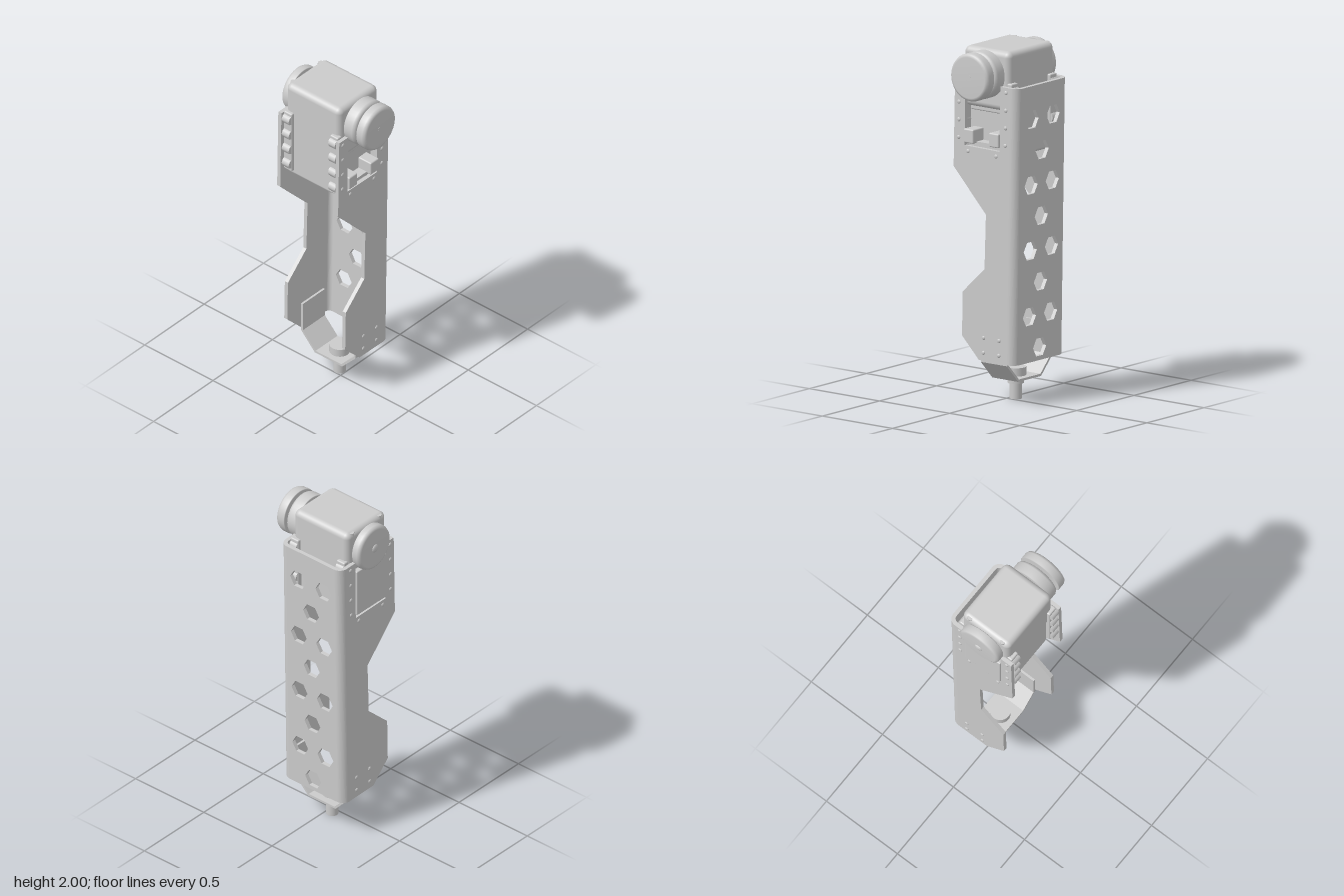
import * as THREE from 'three';
import { RoundedBoxGeometry } from 'three/addons/geometries/RoundedBoxGeometry.js';

const mat = new THREE.MeshStandardMaterial({ color: 0xcccccc });
const ZC = -0.0415; // middle of the channel in z

function add(parent, name, geo, x = 0, y = 0, z = 0) {
  const m = new THREE.Mesh(geo, mat);
  m.name = name;
  m.position.set(x, y, z);
  parent.add(m);
  return m;
}

// box given by its limits
function box(parent, name, x0, x1, y0, y1, z0, z1, r = 0) {
  const s = [x1 - x0, y1 - y0, z1 - z0];
  const g = r ? new RoundedBoxGeometry(...s, 4, r) : new THREE.BoxGeometry(...s);
  return add(parent, name, g, (x0 + x1) / 2, (y0 + y1) / 2, (z0 + z1) / 2);
}

const poly = (pts) => new THREE.Shape(pts.map((p) => new THREE.Vector2(...p)));
const extrude = (shape, depth) =>
  new THREE.ExtrudeGeometry(shape, { depth, bevelEnabled: false, curveSegments: 8 });
const zCylinder = (r, len, seg = 32) => new THREE.CylinderGeometry(r, r, len, seg).rotateX(Math.PI / 2);

// U-shaped channel with cut-away cheeks and a perforated spine
function createChannel() {
  const g = new THREE.Group();
  g.name = 'channel';
  const t = 0.023, half = 0.2235, r = 0.05, xs = 0.146, y0 = 0.24, y1 = 1.81;

  const cheek = poly([
    [xs, y0], [xs, y1], [0.074, y1], [0.074, 1.44], [-0.174, 1.44], [-0.176, y1], [-0.249, y1],
    [-0.251, 1.31], [-0.017, 1.07], [-0.022, 0.76], [-0.175, 0.61], [-0.176, 0.36], [-0.054, y0],
  ]);
  const rivets = [[-0.15, 1.41], [0.05, 1.41]];
  for (const y of [1.78, 1.68, 1.58, 1.48]) rivets.push([-0.218, y], [0.114, y]);
  for (const y of [0.37, 0.285]) rivets.push([-0.023, y], [0.087, y]);

  for (const s of [1, -1]) {
    add(g, 'cheek', extrude(cheek, t), 0, 0, s > 0 ? ZC + half - t : ZC - half);
    // rounded fold between cheek and spine
    const fold = new THREE.Shape();
    const a = s > 0 ? -Math.PI / 2 : 0;
    fold.absarc(0, 0, r, a, a + Math.PI / 2, false);
    fold.absarc(0, 0, r - t, a + Math.PI / 2, a, true);
    add(g, 'fold', extrude(fold, y1 - y0).rotateX(-Math.PI / 2), xs, y0, ZC + s * (half - r));
    for (const [x, y] of rivets) {
      const head = new THREE.SphereGeometry(0.012, 10, 6).scale(1, 1, 0.5);
      add(g, 'rivet', head, x, y, ZC + s * half);
    }
  }

  // spine with staggered hexagonal holes
  const w = half - r;
  const spine = poly([[-w, y0], [w, y0], [w, y1], [-w, y1]]);
  for (let i = 0; i < 8; i++) {
    const y = 0.315 + i * 0.1865;
    for (const c of i % 2 ? [-0.0925, 0.0925] : [0]) {
      const pts = [];
      for (let k = 0; k < 6; k++) {
        const a = -k * Math.PI / 3;
        pts.push(new THREE.Vector2(c + 0.058 * Math.cos(a), y + 0.058 * Math.sin(a)));
      }
      spine.holes.push(new THREE.Path(pts));
    }
  }
  add(g, 'spine', extrude(spine, t).rotateY(Math.PI / 2), xs + r - t, 0, ZC);
  g.rotation.z = -0.016;
  return g;
}

// round plate with softened outer rim, facing +z or -z
function disc(parent, name, r, depth, z, dir) {
  const e = Math.min(0.02, depth * 0.35);
  const pts = [[0, 0], [r - 0.004, 0], [r, 0.004], [r, depth - e], [r - e * 0.3, depth - e * 0.3], [r - e, depth], [0, depth]];
  const geo = new THREE.LatheGeometry(pts.map((p) => new THREE.Vector2(...p)), 40);
  const m = add(parent, name, geo.rotateX(dir * Math.PI / 2), -0.02, 1.862, z);
  return m;
}

// motor at the top of the arm
function createMotor() {
  const g = new THREE.Group();
  g.name = 'motor';
  box(g, 'upperBody', -0.185, 0.145, 1.66, 2, -0.245, 0.155, 0.035);
  box(g, 'lowerBody', -0.185, 0.145, 1.4, 1.75, -0.235, 0.105, 0.02);
  box(g, 'frontLedge', -0.15, 0.1, 1.64, 1.7, 0.1, 0.135, 0.008);
  box(g, 'frontSill', -0.15, 0.1, 1.45, 1.47, 0.1, 0.165);
  for (const x of [-0.15, 0.03]) box(g, 'frontBlock', x, x + 0.07, 1.46, 1.54, 0.1, 0.196, 0.008);
  box(g, 'rearPanel', -0.15, 0.1, 1.46, 1.75, -0.275, -0.23, 0.006);

  // horn stack on both ends
  disc(g, 'collar', 0.135, 0.08, 0.155, 1);
  add(g, 'hub', zCylinder(0.065, 0.04), -0.02, 1.862, 0.24);
  disc(g, 'frontDisc', 0.135, 0.063, 0.246, 1);
  add(g, 'frontScrew', zCylinder(0.018, 0.004, 16), -0.02, 1.862, 0.308);
  disc(g, 'rearDisc', 0.135, 0.055, -0.248, -1);
  add(g, 'rearScrew', new THREE.SphereGeometry(0.025, 16, 8).scale(1, 1, 0.4), -0.02, 1.862, -0.302);
  for (const x of [-0.135, 0.095]) {
    add(g, 'topScrew', new THREE.CylinderGeometry(0.018, 0.018, 0.02, 6), x, 1.985, -0.228);
  }

  // mounting flanges with a row of threaded bosses
  for (const [z0, z1] of [[-0.239, -0.18], [0.1, 0.158]]) {
    for (const [x0, x1, bx] of [[-0.205, -0.17, -0.197], [0.13, 0.165, 0.15]]) {
      box(g, 'flange', x0, x1, 1.43, 1.825, z0, z1, 0.008);
      for (const y of [1.78, 1.68, 1.58, 1.48]) {
        add(g, 'boss', zCylinder(0.03, z1 - z0 - 0.008, 8), bx, y, (z0 + z1) / 2);
      }
    }
  }
  return g;
}

// folded strap and bolt at the foot
function createFoot() {
  const g = new THREE.Group();
  g.name = 'foot';
  const outer = [[0.2, 0.41], [0.2, 0.225], [0.1, 0.12]];
  const inner = [[0.187, 0.41], [0.187, 0.23], [0.094, 0.133]];
  const flip = (pts) => pts.map(([z, y]) => [-z, y]).reverse();
  const strap = poly([...outer, ...flip(outer), ...flip(inner).reverse(), ...[...inner].reverse()]);
  add(g, 'strap', extrude(strap, 0.185).rotateY(Math.PI / 2), -0.055, 0, ZC);

  const bolt = (name, r, y0, y1, seg) =>
    add(g, name, new THREE.CylinderGeometry(r, r, y1 - y0, seg), 0.035, (y0 + y1) / 2, -0.037);
  bolt('boltHead', 0.058, 0.13, 0.18, 24);
  bolt('washer', 0.046, 0.088, 0.122, 24);
  bolt('shaft', 0.035, 0, 0.14, 24);
  return g;
}

export function createModel() {
  const model = new THREE.Group();
  model.name = 'jointedArm';
  model.add(createChannel(), createMotor(), createFoot());
  return model;
}
